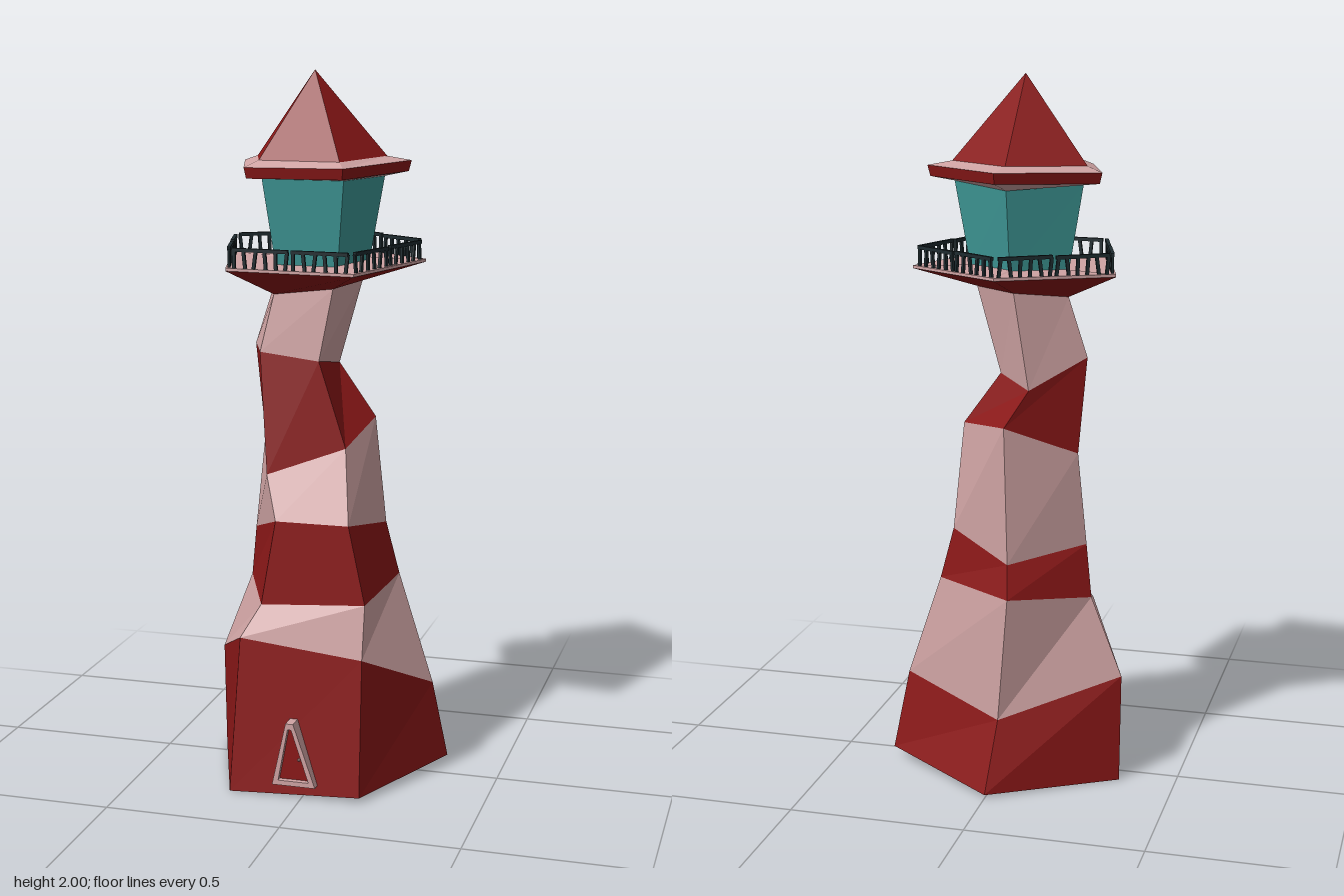
import * as THREE from 'three';

const paint = (color) => new THREE.MeshStandardMaterial({ color, flatShading: true, side: THREE.DoubleSide });

// Corners run front-left, front-right, right, back, left (as seen facing the front).
const ring = (...points) => points.map((p) => new THREE.Vector3(...p));

// Strip of faces between two five-sided rings, lower (or outer) ring first.
function loft(a, b) {
  const pos = [];
  a.forEach((p, i) => {
    const j = (i + 1) % a.length;
    for (const v of [p, a[j], b[j], p, b[j], b[i]]) pos.push(v.x, v.y, v.z);
  });
  const g = new THREE.BufferGeometry();
  g.setAttribute('position', new THREE.Float32BufferAttribute(pos, 3));
  g.computeVertexNormals();
  return g;
}

// Ring shrunk about a centre and optionally moved to one height
function shrink(r, s, y, cx = -0.04, cz = -0.03) {
  return r.map((p) => new THREE.Vector3(cx + (p.x - cx) * s, y ?? p.y, cz + (p.z - cz) * s));
}

export function createModel() {
  const model = new THREE.Group();
  const red = paint(0x8a1717), white = paint(0xd0a4a4), teal = paint(0x3f9a98), dark = paint(0x1e2b2f);
  const add = (name, geometry, material, parent = model) => {
    const m = new THREE.Mesh(geometry, material);
    m.name = name;
    parent.add(m);
    return m;
  };

  // Crooked striped tower, open underneath
  const levels = [
    ring([-0.21, 0, 0.295], [0.165, 0.015, 0.285], [0.34, 0.03, -0.065], [0, 0.01, -0.29], [-0.34, 0, -0.065]),
    ring([-0.19, 0.44, 0.25], [0.16, 0.4, 0.24], [0.3, 0.26, -0.035], [-0.02, 0.21, -0.22], [-0.34, 0.31, -0.05]),
    ring([-0.14, 0.53, 0.21], [0.16, 0.55, 0.21], [0.19, 0.57, -0.07], [-0.05, 0.57, -0.23], [-0.25, 0.54, -0.05]),
    ring([-0.1, 0.77, 0.2], [0.11, 0.77, 0.2], [0.15, 0.72, -0.07], [-0.04, 0.66, -0.19], [-0.23, 0.69, -0.03]),
    ring([-0.14, 0.89, 0.15], [0.08, 0.97, 0.12], [0.12, 1.03, -0.06], [-0.03, 1.05, -0.19], [-0.21, 0.96, -0.06]),
    ring([-0.17, 1.23, 0.11], [0, 1.21, 0.11], [0.01, 1.18, -0.07], [-0.09, 1.15, -0.15], [-0.23, 1.23, -0.04]),
    ring([-0.135, 1.39, 0.09], [0.035, 1.41, 0.09], [0.08, 1.42, -0.06], [-0.05, 1.42, -0.16], [-0.18, 1.4, -0.06]),
  ];
  for (let i = 0; i < 6; i++) add(i % 2 ? 'whiteBand' : 'redBand', loft(levels[i], levels[i + 1]), i % 2 ? white : red);

  // Gallery: flared skirt, thin edge and floor
  const deck = ring([-0.235, 1.465, 0.21], [0.135, 1.465, 0.245], [0.25, 1.47, -0.11], [-0.035, 1.475, -0.31], [-0.325, 1.47, -0.125]);
  const floor = deck.map((p) => p.clone().setY(p.y + 0.008));
  add('gallerySkirt', loft(levels[6], deck), red);
  add('galleryEdge', loft(deck, floor), white);
  add('galleryFloor', loft(floor, shrink(floor, 0.05)), white);

  // Railing: two sections per side with slightly leaning posts
  const railing = new THREE.Group();
  railing.name = 'railing';
  model.add(railing);
  const fence = shrink(floor, 0.965);
  fence.forEach((a, i) => {
    const b = fence[(i + 1) % 5], side = b.clone().sub(a), length = side.length();
    const angle = -Math.atan2(side.z, side.x);
    for (const [from, to] of [[0.03, 0.485], [0.515, 0.97]]) {
      const rail = add('handrail', new THREE.BoxGeometry((to - from) * length, 0.01, 0.01), dark, railing);
      rail.position.lerpVectors(a, b, (from + to) / 2);
      rail.position.y += 0.05;
      rail.rotation.y = angle;
      for (let k = 0; k < 6; k++) {
        const post = add('railPost', new THREE.BoxGeometry(0.009, 0.052, 0.007), dark, railing);
        post.position.lerpVectors(a, b, from + (to - from) * (0.03 + 0.188 * k));
        post.position.y += 0.024;
        post.rotation.set(0, angle, 0.14 * Math.sin(k * 2.3 + i * 1.7));
      }
    }
  });

  // Lantern room, wider at the top
  const glassTop = ring([-0.155, 1.71, 0.13], [0.08, 1.71, 0.145], [0.14, 1.71, -0.07], [-0.04, 1.7, -0.2], [-0.225, 1.71, -0.085]);
  add('lanternGlass', loft(shrink(glassTop, 0.77, 1.47), glassTop), teal);

  // Roof: pale underside, red rim, pale ledge and pointed cap
  const eave = ring([-0.195, 1.742, 0.165], [0.09, 1.745, 0.19], [0.21, 1.753, -0.095], [-0.03, 1.755, -0.29], [-0.28, 1.745, -0.105]);
  const lip = shrink(eave, 0.97).map((p) => p.setY(p.y - 0.03));
  const capBase = ring([-0.165, 1.76, 0.125], [0.07, 1.76, 0.15], [0.145, 1.765, -0.075], [-0.04, 1.765, -0.21], [-0.235, 1.76, -0.085]);
  add('roofUnderside', loft(glassTop, lip), white);
  add('roofRim', loft(lip, eave), red);
  add('roofLedge', loft(eave, capBase), white);
  add('roofCap', loft(capBase, shrink(capBase, 0.001, 2, -0.05, -0.03)), red);

  // Door: tapering frame, recessed panel and knob
  const outer = [[-0.08, 0.04], [0.045, 0.04], [-0.018, 0.222], [-0.04, 0.222]].map((p) => new THREE.Vector2(...p));
  const inner = [[-0.062, 0.054], [0.026, 0.054], [-0.024, 0.205], [-0.034, 0.205]].map((p) => new THREE.Vector2(...p));
  const frame = new THREE.Shape(outer);
  frame.holes.push(new THREE.Path(inner));
  const door = new THREE.Group();
  door.name = 'door';
  model.add(door);
  add('doorFrame', new THREE.ExtrudeGeometry(frame, { depth: 0.048, bevelEnabled: false }), white, door).position.z = 0.262;
  add('doorPanel', new THREE.ExtrudeGeometry(new THREE.Shape(inner), { depth: 0.02, bevelEnabled: false }), red, door).position.z = 0.274;
  add('doorKnob', new THREE.IcosahedronGeometry(0.005), white, door).position.set(-0.005, 0.115, 0.297);

  return model;
}
